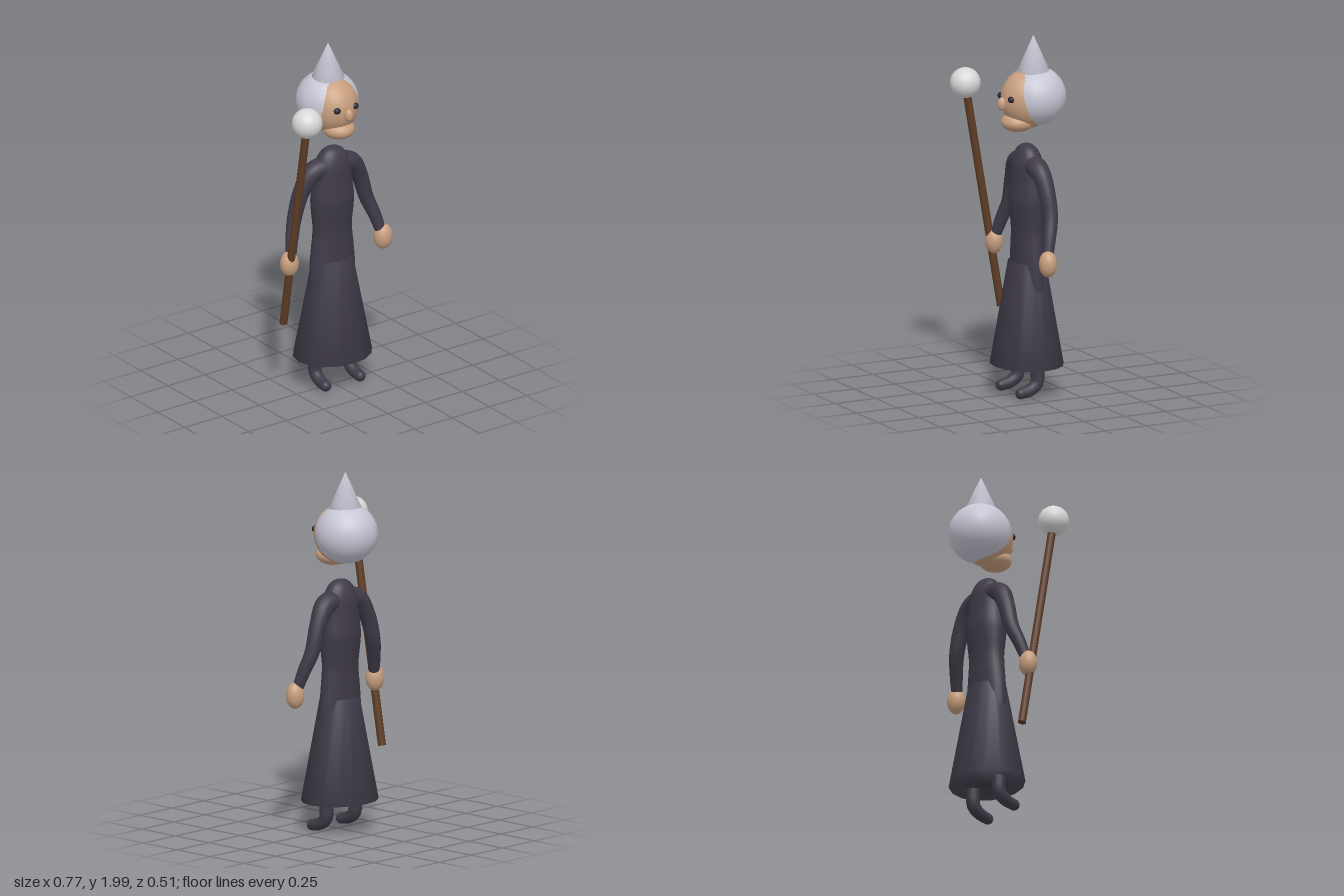
import * as THREE from 'three';
import { mergeVertices } from 'three/addons/utils/BufferGeometryUtils.js';

const mat = (name, color) => {
  const m = new THREE.MeshStandardMaterial({ color });
  m.name = name;
  return m;
};
const V = (x, y, z) => new THREE.Vector3(x, y, z);

// Joins seams and caps so that the shading flows over every edge
function soften(geo) {
  geo.deleteAttribute('normal');
  geo.deleteAttribute('uv');
  const g = mergeVertices(geo, 1e-4);
  g.computeVertexNormals();
  return g;
}

export function createModel() {
  const robe = mat('robe cloth', 0x3f3a47);
  const skin = mat('skin', 0xc89f7e);
  const hairMat = mat('silver hair', 0xc6c6d4);
  const wood = mat('dark wood', 0x5f3c26);
  const orbMat = mat('white orb', 0xd8d8d8);
  const eyeMat = mat('dark eye', 0x2b2a35);

  const model = new THREE.Group();
  model.name = 'robedFigure';
  // The figure stands slightly off centre because of the staff
  const figure = new THREE.Group();
  figure.name = 'figure';
  figure.position.x = 0.017;
  model.add(figure);

  const add = (name, geo, material, parent = figure) => {
    const mesh = new THREE.Mesh(geo, material);
    mesh.name = name;
    parent.add(mesh);
    return mesh;
  };
  const ellipsoid = (name, c, r, material, parent = figure) => {
    const mesh = add(name, new THREE.SphereGeometry(1, 28, 20), material, parent);
    mesh.position.set(...c);
    mesh.scale.set(...r);
    return mesh;
  };

  // Tapering limb along a curve, with rounded ends
  function limb(name, points, radii, material) {
    const group = new THREE.Group();
    group.name = name;
    const curve = new THREE.CatmullRomCurve3(points.map((p) => V(...p)));
    const rings = 28, sides = 16;
    const geo = new THREE.TubeGeometry(curve, rings, 1, sides, false);
    const pos = geo.attributes.position, v = V(0, 0, 0);
    for (let i = 0; i <= rings; i++) {
      const u = i / rings, c = curve.getPointAt(u);
      const t = curve.getUtoTmapping(u) * (radii.length - 1);
      const k = Math.min(Math.floor(t), radii.length - 2);
      const r = THREE.MathUtils.lerp(radii[k], radii[k + 1], t - k);
      for (let j = 0; j <= sides; j++) {
        const n = i * (sides + 1) + j;
        v.fromBufferAttribute(pos, n).sub(c).multiplyScalar(r).add(c);
        pos.setXYZ(n, v.x, v.y, v.z);
      }
    }
    add(name + 'Sleeve', soften(geo), material, group);
    [0, points.length - 1].forEach((i) => {
      const r = radii[i];
      ellipsoid(name + 'End', points[i], [r, r, r], material, group);
    });
    figure.add(group);
  }

  // Torso: turned profile flattened front to back, more so toward the hips
  const profile = [
    [0.001, 0.48], [0.11, 0.5], [0.142, 0.58], [0.143, 0.7], [0.133, 0.8], [0.12, 0.92],
    [0.127, 1.02], [0.13, 1.1], [0.118, 1.2], [0.11, 1.29], [0.083, 1.355], [0.045, 1.39], [0.001, 1.4],
  ].map(([x, y]) => new THREE.Vector2(x, y));
  const outline = new THREE.SplineCurve(profile).getPoints(48);
  outline.forEach((p) => { p.x = Math.max(p.x, 0); });
  const torso = new THREE.LatheGeometry(outline, 28);
  const tp = torso.attributes.position;
  for (let i = 0; i < tp.count; i++) {
    const f = THREE.MathUtils.clamp((tp.getY(i) - 0.7) / 0.4, 0, 1);
    tp.setZ(i, -0.038 + tp.getZ(i) * THREE.MathUtils.lerp(0.52, 0.73, f));
  }
  add('torso', soften(torso), robe);

  // Skirt
  const skirt = add('skirt', soften(new THREE.CylinderGeometry(0.1, 0.196, 0.57, 16)), robe);
  skirt.position.set(0, 0.46, -0.035);
  skirt.scale.x = 1.16;

  // Arms, hands, legs and eyes, mirrored
  for (const s of [1, -1]) {
    const side = s > 0 ? 'left' : 'right';
    limb(side + 'Arm',
      [[s * 0.04, 1.29, -0.04], [s * 0.13, 1.27, -0.045], [s * 0.195, 1.17, -0.055],
        [s * 0.24, 1.03, -0.055], [s * 0.275, 0.93, -0.03], [s * 0.298, 0.845, -0.008]],
      [0.065, 0.056, 0.046, 0.041, 0.036, 0.031], robe);
    ellipsoid(side + 'Hand', [s * 0.314, 0.795, 0], [0.053, 0.073, 0.048], skin);
    limb(side + 'Leg',
      [[s * 0.085, 0.6, -0.035], [s * 0.105, 0.3, -0.04], [s * 0.112, 0.16, -0.042],
        [s * 0.113, 0.085, -0.038], [s * 0.114, 0.05, 0.005], [s * 0.115, 0.037, 0.06]],
      [0.05, 0.042, 0.038, 0.037, 0.034, 0.031], robe);
    ellipsoid(side + 'Eye', [s * 0.06, 1.668, 0.092], [0.021, 0.018, 0.016], eyeMat);
  }

  // Head
  ellipsoid('hair', [0, 1.66, -0.085], [0.172, 0.165, 0.171], hairMat);
  ellipsoid('face', [0, 1.65, -0.048], [0.1425, 0.163, 0.158], skin);
  ellipsoid('jaw', [0, 1.526, 0.02], [0.088, 0.055, 0.092], skin);
  ellipsoid('nose', [0, 1.635, 0.115], [0.023, 0.037, 0.026], skin);
  const hat = add('pointedHat', soften(new THREE.ConeGeometry(0.094, 0.21, 16)), hairMat);
  hat.position.set(0, 1.895, -0.077);

  // Staff leaning forward, with an orb on top
  const staff = new THREE.Group();
  staff.name = 'staff';
  const foot = V(-0.303, 0.425, -0.047), tip = V(-0.303, 1.69, 0.172);
  const axis = tip.clone().sub(foot);
  const shaft = add('staffShaft', new THREE.CylinderGeometry(0.022, 0.022, axis.length(), 16), wood, staff);
  shaft.position.copy(foot).add(tip).multiplyScalar(0.5);
  shaft.quaternion.setFromUnitVectors(V(0, 1, 0), axis.normalize());
  ellipsoid('staffOrb', [-0.303, 1.693, 0.172], [0.084, 0.084, 0.084], orbMat, staff);
  model.add(staff);

  return model;
}
